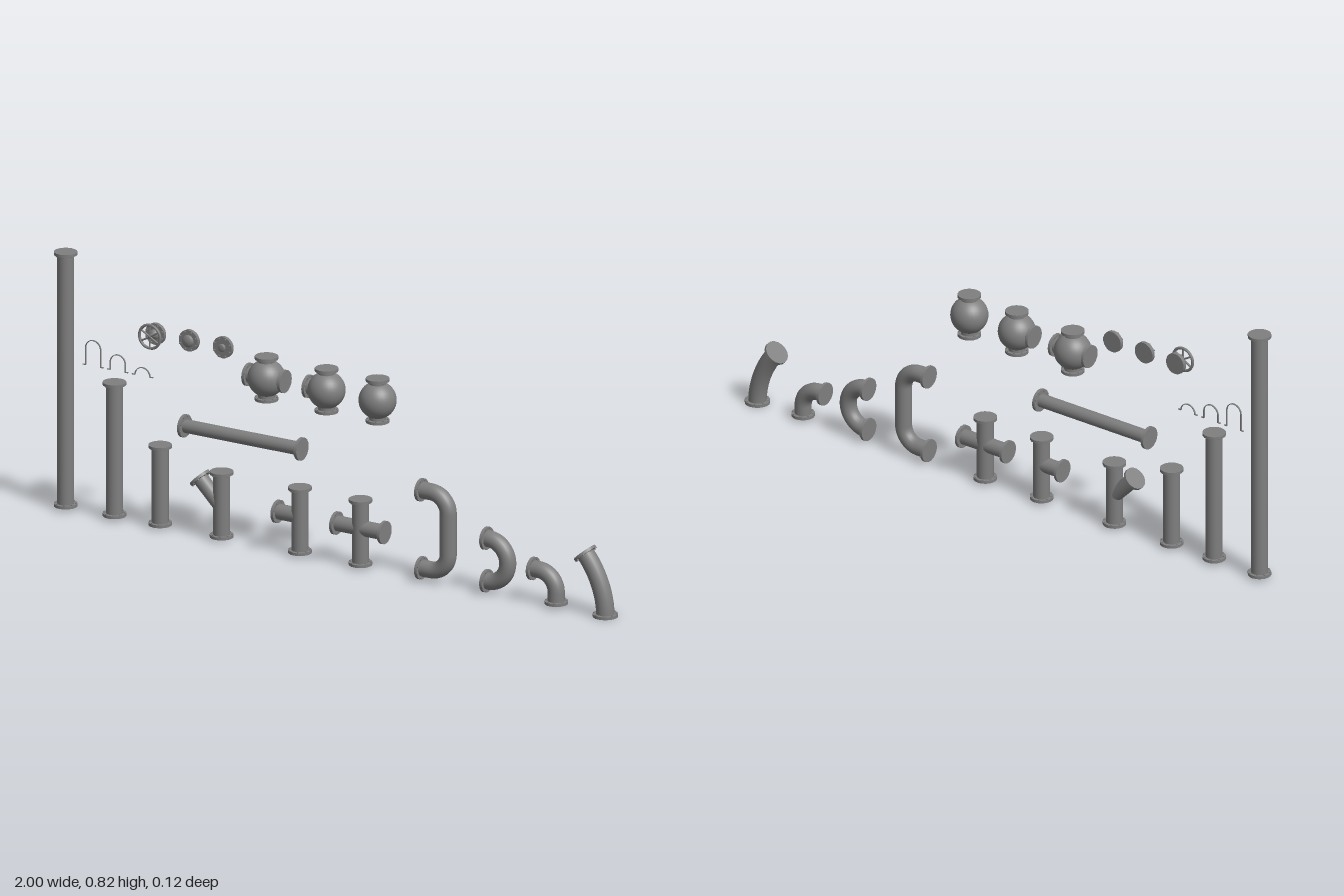
import * as THREE from 'three';

const V = (x, y, z = 0) => new THREE.Vector3(x, y, z);
const UP = V(0, 1);
const R = 0.026; // pipe radius
const metal = new THREE.MeshStandardMaterial({ color: 0x7f7f7f });

function add(parent, name, geometry, x = 0, y = 0, z = 0) {
  const mesh = new THREE.Mesh(geometry, metal);
  mesh.name = name;
  mesh.position.set(x, y, z);
  parent.add(mesh);
  return mesh;
}

function part(root, name) {
  const g = new THREE.Group();
  g.name = name;
  root.add(g);
  return g;
}

// Ring of small hexagonal bolts around the y axis
function bolts(parent, radius, y, height) {
  for (let i = 0; i < 8; i++) {
    const a = (i + 0.5) * Math.PI / 4;
    add(parent, 'bolt', new THREE.CylinderGeometry(0.003, 0.003, height, 6),
      radius * Math.cos(a), y, radius * Math.sin(a));
  }
}

// Bolted end plate whose outer face lies at p and looks along dir
function flange(parent, p, dir, radius = 0.036) {
  const g = part(parent, 'flange');
  g.position.copy(p);
  g.quaternion.setFromUnitVectors(UP, dir.clone().normalize());
  add(g, 'flangePlate', new THREE.CylinderGeometry(radius, radius, 0.009, 18), 0, -0.0045);
  bolts(g, radius - 0.0045, -0.01, 0.003);
}

// Straight run from a to b, with flanges on the chosen ends
function pipe(parent, a, b, { r = R, start = true, end = true } = {}) {
  const dir = b.clone().sub(a);
  const len = dir.length();
  dir.normalize();
  const mesh = add(parent, 'pipe', new THREE.CylinderGeometry(r, r, len - 0.004, 20));
  mesh.position.copy(a).add(b).multiplyScalar(0.5);
  mesh.quaternion.setFromUnitVectors(UP, dir);
  if (start) flange(parent, a, dir.clone().negate());
  if (end) flange(parent, b, dir);
}

// Bent run: straight pieces through the points, corners rounded by bend radius
function bentPipe(parent, points, bend) {
  const path = new THREE.CurvePath();
  let from = points[0];
  for (let i = 1; i < points.length - 1; i++) {
    const c = points[i];
    const u = points[i - 1].clone().sub(c).normalize();
    const v = points[i + 1].clone().sub(c).normalize();
    const at = (d, t) => c.clone().addScaledVector(d, t);
    const s = at(u, bend), e = at(v, bend), k = bend * (1 - 0.5523);
    if (from.distanceTo(s) > 1e-4) path.add(new THREE.LineCurve3(from, s));
    path.add(new THREE.CubicBezierCurve3(s, at(u, k), at(v, k), e));
    from = e;
  }
  const last = points[points.length - 1];
  if (from.distanceTo(last) > 1e-4) path.add(new THREE.LineCurve3(from, last));
  add(parent, 'bend', new THREE.TubeGeometry(path, 48, R, 20));
  flange(parent, points[0], points[0].clone().sub(points[1]));
  flange(parent, last, last.clone().sub(points[points.length - 2]));
}

// U-shaped strap with two feet
function strap(root, x, top) {
  const y = 0.473, r = 0.028, t = 0.0022, foot = 0.037, cy = top - r;
  const s = new THREE.Shape();
  s.moveTo(-foot, y);
  s.lineTo(-r + t, y);
  s.lineTo(-r + t, cy);
  s.absarc(0, cy, r - t, Math.PI, 0, true);
  s.lineTo(r - t, y);
  s.lineTo(foot, y);
  s.lineTo(foot, y + t);
  s.lineTo(r, y + t);
  s.lineTo(r, cy);
  s.absarc(0, cy, r, 0, Math.PI, false);
  s.lineTo(-r, y + t);
  s.lineTo(-foot, y + t);
  add(root, 'pipeStrap', new THREE.ExtrudeGeometry(s, { depth: 0.005, bevelEnabled: false, curveSegments: 12 }),
    x, 0, -0.0025);
}

// Blind cover facing +z: bolted disc with a turned hub
function cover(root, name, x, profile) {
  const g = part(root, name);
  g.position.set(x, 0.62, 0);
  g.rotation.x = Math.PI / 2;
  add(g, 'coverPlate', new THREE.CylinderGeometry(0.034, 0.034, 0.012, 18), 0, 0.008);
  bolts(g, 0.029, 0.0165, 0.006);
  add(g, 'hub', new THREE.LatheGeometry(profile.map(([r, y]) => new THREE.Vector2(r, y)), 18));
  return g;
}

export function createModel() {
  const root = new THREE.Group();
  root.name = 'pipeKit';

  // Straight pipes
  const base = 0.01;
  for (const [x, top] of [[-0.964, 0.822], [-0.79, 0.437], [-0.627, 0.266]])
    pipe(part(root, 'straightPipe'), V(x, base), V(x, top));
  pipe(part(root, 'horizontalPipe'), V(-0.545, 0.341), V(-0.12, 0.341), { r: 0.021 });

  // Branched fittings
  const wye = part(root, 'angledBranch');
  pipe(wye, V(-0.408, base), V(-0.408, 0.22));
  pipe(wye, V(-0.408, 0.108), V(-0.488, 0.188), { start: false, r: 0.024 });

  const tee = part(root, 'teePipe');
  pipe(tee, V(-0.129, base), V(-0.129, 0.22));
  pipe(tee, V(-0.129, 0.127), V(-0.212, 0.127), { start: false, r: 0.024 });

  const cross = part(root, 'crossPipe');
  pipe(cross, V(0.087, base), V(0.087, 0.22));
  pipe(cross, V(-0.003, 0.127), V(0.176, 0.127), { r: 0.024 });

  // Bends
  bentPipe(part(root, 'longReturnBend'),
    [V(0.3, 0.287), V(0.4, 0.287), V(0.4, 0.038), V(0.3, 0.038)], 0.06);
  bentPipe(part(root, 'shortReturnBend'),
    [V(0.532, 0.174), V(0.612, 0.174), V(0.612, 0.038), V(0.532, 0.038)], 0.068);
  bentPipe(part(root, 'elbow'), [V(0.698, 0.107), V(0.785, 0.107), V(0.785, base)], 0.062);

  // Shallow bend on a wider foot
  const shallow = part(root, 'shallowBend');
  const a = 0.72, lean = V(-Math.sin(a), Math.cos(a)), tip = V(0.885, 0.192);
  const arc = new THREE.CubicBezierCurve3(V(0.96, 0.002), V(0.96, 0.071),
    tip.clone().addScaledVector(lean, -0.069), tip.clone().addScaledVector(lean, -0.002));
  add(shallow, 'bend', new THREE.TubeGeometry(arc, 20, 0.028, 20));
  flange(shallow, V(0.96, 0), V(0, -1), 0.039);
  flange(shallow, tip, lean, 0.039);

  // Ball chambers with four, three and two ports
  const cy = 0.546;
  for (const [x, sides] of [[-0.248, [-1, 1]], [-0.034, [-1]], [0.148, []]]) {
    const g = part(root, 'ballChamber');
    add(g, 'ball', new THREE.SphereGeometry(0.058, 28, 20), x, cy);
    pipe(g, V(x, 0.476), V(x, 0.616));
    for (const s of sides)
      pipe(g, V(x, cy), V(x + s * 0.068, cy), { start: false });
  }

  // Straps
  for (const [x, top] of [[-0.866, 0.556], [-0.778, 0.526], [-0.69, 0.501]]) strap(root, x, top);

  // Covers, one with a handwheel
  cover(root, 'plainCover', -0.397, [[0.012, 0.01], [0.012, 0.019], [0.009, 0.022], [0, 0.022]]);
  cover(root, 'raisedCover', -0.518, [[0.019, 0.01], [0.019, 0.019], [0.014, 0.026], [0, 0.027]]);
  const valve = cover(root, 'handwheelCover', -0.638,
    [[0.016, 0.01], [0.016, 0.022], [0.007, 0.028], [0.005, 0.03], [0.005, 0.045], [0, 0.046]]);
  const rim = add(valve, 'handwheelRim', new THREE.TorusGeometry(0.037, 0.0045, 8, 28), 0, 0.042);
  rim.rotation.x = Math.PI / 2;
  for (let i = 0; i < 3; i++) {
    const spoke = add(valve, 'handwheelSpoke', new THREE.CylinderGeometry(0.003, 0.003, 0.072, 8), 0, 0.042);
    spoke.rotation.set(Math.PI / 2, 0, i * Math.PI / 3);
  }
  return root;
}
